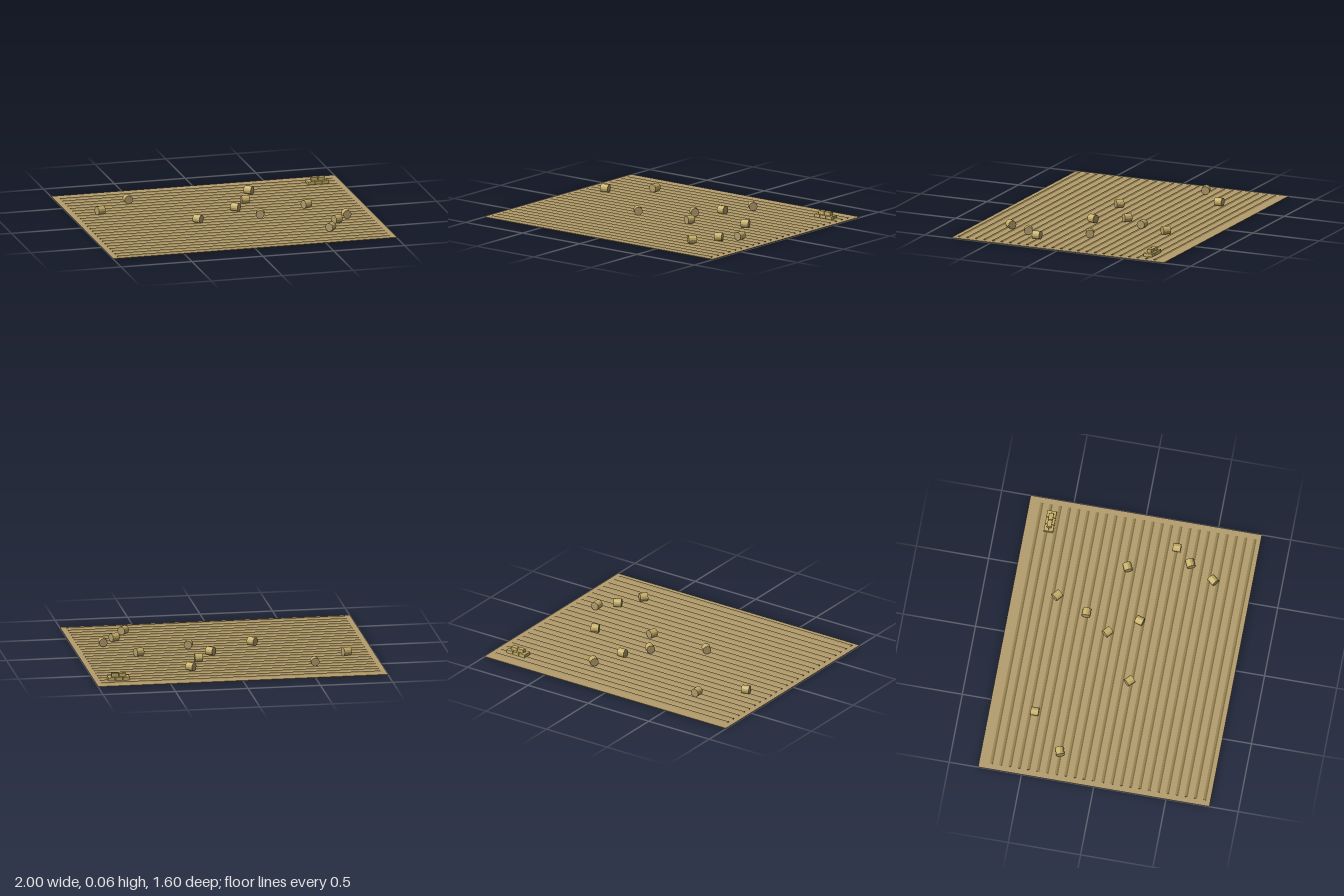
import * as THREE from 'three';

export function createModel() {
  const field = new THREE.Group();
  field.name = 'hayField';

  const mat = (name, color) => {
    const m = new THREE.MeshStandardMaterial({ color, flatShading: true });
    m.name = name;
    return m;
  };
  const soil = mat('drySoil', 0xb49c6c);
  const stubble = mat('stubble', 0x94824f);
  const straw = mat('straw', 0xc8b068);
  const cutStraw = mat('cutStraw', 0xb49c6c);

  const add = (parent, name, geometry, material, x, y, z) => {
    const mesh = new THREE.Mesh(geometry, material);
    mesh.name = name;
    mesh.position.set(x, y, z);
    parent.add(mesh);
    return mesh;
  };

  // Thin ground slab
  const GROUND = 0.004;
  add(field, 'ground', new THREE.BoxGeometry(2, GROUND, 1.6), soil, 0, GROUND / 2, 0);

  // Stubble rows: long low ridges with sloping sides
  const profile = new THREE.Shape([
    new THREE.Vector2(-0.012, 0), new THREE.Vector2(0.012, 0),
    new THREE.Vector2(0.003, 0.006), new THREE.Vector2(-0.003, 0.006),
  ]);
  const ridge = new THREE.ExtrudeGeometry(profile, { depth: 1.92, bevelEnabled: false });
  ridge.translate(0, 0, -0.96);
  ridge.rotateY(Math.PI / 2);
  const rows = new THREE.Group();
  rows.name = 'stubbleRows';
  field.add(rows);
  for (let i = 0; i < 24; i++) {
    add(rows, 'stubbleRow', ridge, stubble, 0, GROUND - 0.0005, -0.715 + i * 0.0641);
  }

  // Round bales lying down: x, z and the axis direction on the ground
  const R = 0.029;
  const bale = new THREE.CylinderGeometry(R, R, 0.054, 12);
  bale.rotateZ(Math.PI / 2);
  const bales = [
    [-0.545, -0.49, 0, 1], [0.31, -0.49, 0.75, 0.65], [-0.8, -0.27, 0.95, -0.3],
    [0.222, -0.272, 1, 0], [0.11, -0.105, 0.75, 0.65], [0.597, -0.055, 0.9, -0.4],
    [-0.212, 0.105, 0.7, 0.7], [0.23, 0.095, -0.3, 0.95], [0.795, 0.25, 0, 1],
    [0.698, 0.36, 0.9, -0.42], [0.607, 0.535, -0.65, 0.75],
  ];
  for (const [x, z, dx, dz] of bales) {
    const mesh = add(field, 'roundBale', bale, [straw, cutStraw, cutStraw], x, 0.036, z);
    mesh.rotation.y = Math.atan2(-dz, dx);
  }

  // Stack of square bales: two rows of three, two more on top
  const stack = new THREE.Group();
  stack.name = 'squareBaleStack';
  stack.position.set(0.833, 0, -0.634);
  field.add(stack);
  const block = new THREE.BoxGeometry(0.047, 0.024, 0.031);
  for (const z of [-0.0165, 0.0165]) {
    for (const x of [-0.051, 0, 0.051]) add(stack, 'squareBale', block, straw, x, 0.0145, z);
  }
  for (const x of [-0.0255, 0.0255]) add(stack, 'topSquareBale', block, straw, x, 0.0385, 0);

  return field;
}
